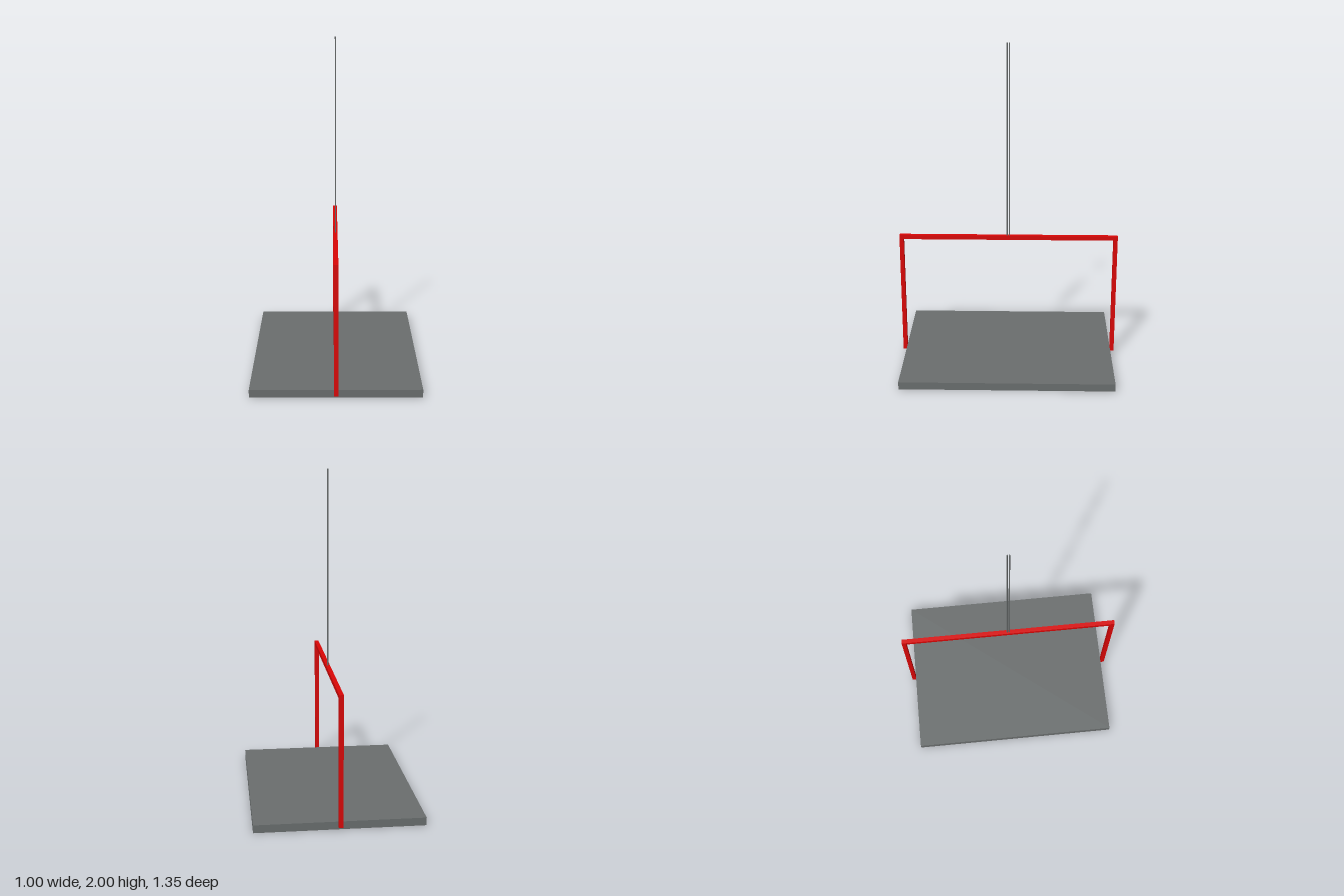
import * as THREE from 'three';

export function createModel() {
  const model = new THREE.Group();
  const steelGrey = new THREE.MeshStandardMaterial({ color: 0x6b6f6f });
  steelGrey.name = 'steelGrey';
  const frameRed = new THREE.MeshStandardMaterial({ color: 0xdc0606 });
  frameRed.name = 'frameRed';

  function add(name, geometry, material, y, z) {
    const mesh = new THREE.Mesh(geometry, material);
    mesh.name = name;
    mesh.position.set(0, y, z);
    model.add(mesh);
  }

  // Flat deck
  const deckHeight = 0.047;
  add('deck', new THREE.BoxGeometry(1, deckHeight, 1.3), steelGrey, deckHeight / 2, 0);

  // Frame: crossbar held between two posts fixed to the deck ends
  const bar = 0.026, frameTop = 0.803, frameBottom = 0.018;
  const postHeight = frameTop - frameBottom;
  add('crossbar', new THREE.BoxGeometry(bar, bar, 1.3), frameRed, frameTop - bar / 2, 0);

  // Posts and the pair of hoisting cables, mirrored front to back
  const cableLength = 2 - frameTop;
  for (const [side, s] of [['front', 1], ['back', -1]]) {
    add(side + 'Post', new THREE.BoxGeometry(bar, postHeight, bar), frameRed,
      frameBottom + postHeight / 2, s * (0.65 + bar / 2));
    add(side + 'Cable', new THREE.CylinderGeometry(0.004, 0.004, cableLength, 12), steelGrey,
      2 - cableLength / 2, s * 0.0065);
  }
  return model;
}
